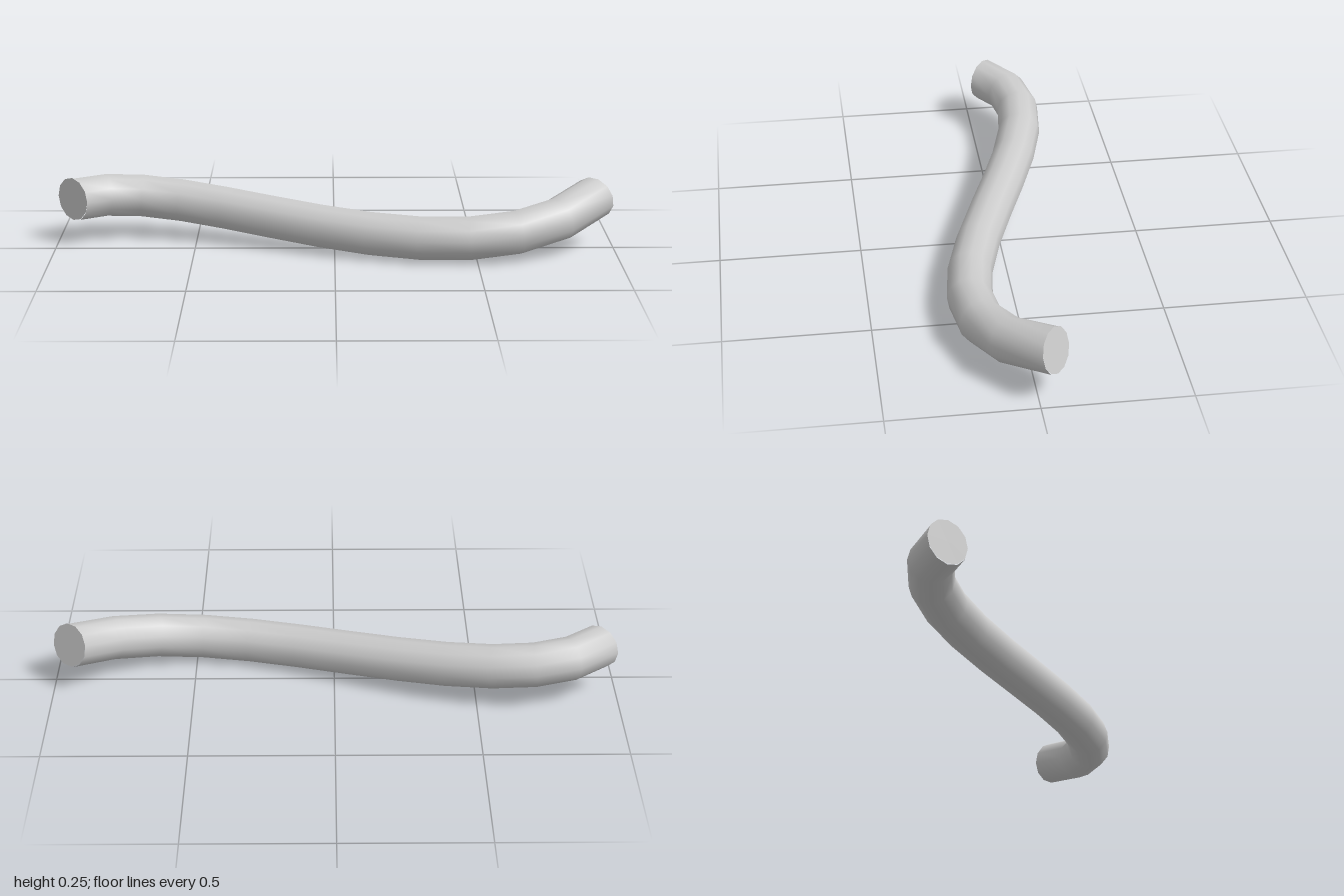
import * as THREE from 'three';

const RINGS = 12, SIDES = 12, RADIUS = 0.078;

// Flat end disc, fanned from the centre over one ring of the tube
function endCap(tube, ring, centre, flip) {
  const p = tube.attributes.position;
  const verts = [centre.x, centre.y, centre.z];
  const index = [];
  for (let j = 0; j < SIDES; j++) {
    const k = ring * (SIDES + 1) + j;
    verts.push(p.getX(k), p.getY(k), p.getZ(k));
    const a = j + 1, b = ((j + 1) % SIDES) + 1;
    index.push(0, flip ? b : a, flip ? a : b);
  }
  const geo = new THREE.BufferGeometry();
  geo.setAttribute('position', new THREE.Float32BufferAttribute(verts, 3));
  geo.setIndex(index);
  geo.computeVertexNormals();
  return geo;
}

export function createModel() {
  const group = new THREE.Group();
  group.name = 'bentRod';
  const material = new THREE.MeshStandardMaterial({ color: 0xcccccc });

  // S-shaped centreline, sampled evenly in its parameter rather than by length
  const path = new THREE.CubicBezierCurve3(
    new THREE.Vector3(-0.94, 0.168, -0.06),
    new THREE.Vector3(-0.54, 0.17, -0.502),
    new THREE.Vector3(0.4, -0.035, 0.607),
    new THREE.Vector3(0.936, 0.176, -0.06)
  );
  path.getPointAt = (u, target) => path.getPoint(u, target);
  path.getTangentAt = (u, target) => path.getTangent(u, target);

  const tube = new THREE.TubeGeometry(path, RINGS, RADIUS, SIDES, false);
  const parts = {
    rod: tube,
    rightEndCap: endCap(tube, 0, path.getPoint(0), false),
    leftEndCap: endCap(tube, RINGS, path.getPoint(1), true),
  };

  // Rest on the ground and centre
  tube.computeBoundingBox();
  const box = tube.boundingBox;
  const c = box.getCenter(new THREE.Vector3());
  for (const [name, geo] of Object.entries(parts)) {
    geo.translate(-c.x, -box.min.y, -c.z);
    const mesh = new THREE.Mesh(geo, material);
    mesh.name = name;
    group.add(mesh);
  }
  return group;
}
